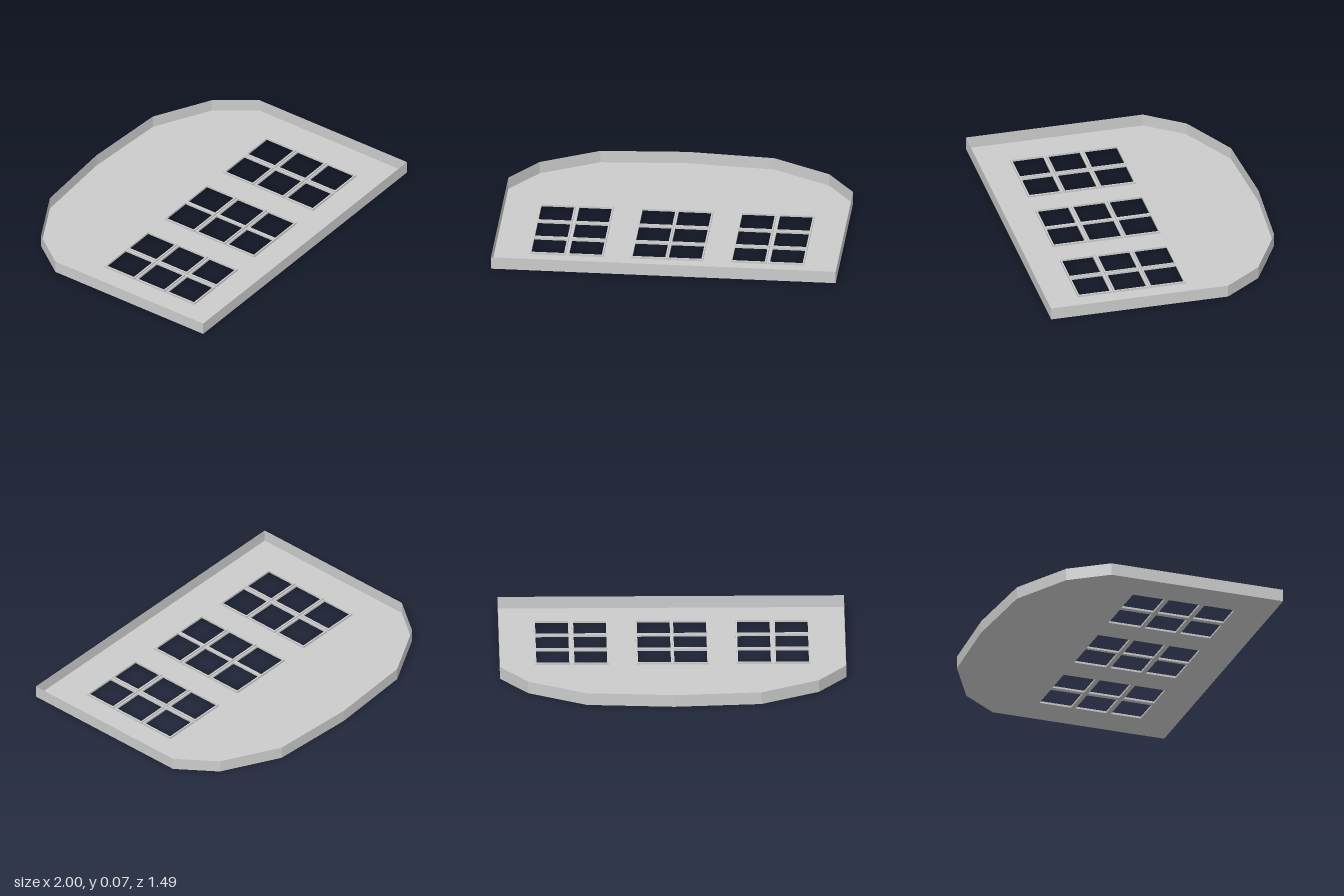
import * as THREE from 'three';

const HEIGHT = 0.073;
const FRAME_WIDTH = 0.009;
const FRAME_HEIGHT = 0.012;

// Right half of the outline as [x, z], from the back peak to the front corner
const HALF = [[0, -0.745], [0.505, -0.71], [0.84, -0.53], [1, -0.31], [1, 0.745]];
const OUTLINE = [...HALF, ...HALF.slice(1).reverse().map(([x, z]) => [-x, z])];

// Pane openings: column and row extents, the columns mirrored across x
const RIGHT_COLUMNS = [[0.01, 0.2], [0.378, 0.567], [0.597, 0.787]];
const COLUMNS = [...RIGHT_COLUMNS, ...RIGHT_COLUMNS.map(([a, b]) => [-b, -a])];
const ROWS = [[-0.1, 0.095], [0.122, 0.311], [0.339, 0.524]];
const PANES = COLUMNS.flatMap((column) => ROWS.map((row) => [...column, ...row]));

const toPoints = (corners) => corners.map(([x, z]) => new THREE.Vector2(x, -z));

// Corners of a pane, counterclockwise from above, grown by a margin
function paneCorners([x0, x1, z0, z1], margin) {
  return toPoints([
    [x0 - margin, z1 + margin], [x1 + margin, z1 + margin],
    [x1 + margin, z0 - margin], [x0 - margin, z0 - margin]]);
}

// Flat sheet pierced by three windows of six panes
function panelGeometry() {
  const shape = new THREE.Shape(toPoints(OUTLINE));
  shape.holes = PANES.map((pane) => new THREE.Path(paneCorners(pane, 0)));
  return new THREE.ShapeGeometry(shape).rotateX(-Math.PI / 2);
}

// Low raised border around one pane
function frameGeometry(pane) {
  const shape = new THREE.Shape(paneCorners(pane, FRAME_WIDTH));
  shape.holes.push(new THREE.Path(paneCorners(pane, 0).reverse()));
  return new THREE.ExtrudeGeometry(shape, { depth: FRAME_HEIGHT, bevelEnabled: false })
    .rotateX(-Math.PI / 2);
}

// Thin upright wall following the outline
function rimGeometry() {
  const positions = [];
  OUTLINE.forEach(([ax, az], i) => {
    const [bx, bz] = OUTLINE[(i + 1) % OUTLINE.length];
    positions.push(
      ax, 0, az, ax, HEIGHT, az, bx, HEIGHT, bz,
      ax, 0, az, bx, HEIGHT, bz, bx, 0, bz);
  });
  const geometry = new THREE.BufferGeometry();
  geometry.setAttribute('position', new THREE.Float32BufferAttribute(positions, 3));
  geometry.computeVertexNormals();
  return geometry;
}

export function createModel() {
  const group = new THREE.Group();
  group.name = 'windowPanel';
  const material = new THREE.MeshStandardMaterial({
    color: 0xcccccc, flatShading: true, side: THREE.DoubleSide,
  });
  const add = (name, geometry) => {
    const mesh = new THREE.Mesh(geometry, material);
    mesh.name = name;
    group.add(mesh);
  };
  add('panel', panelGeometry());
  add('rim', rimGeometry());
  PANES.forEach((pane) => add('paneFrame', frameGeometry(pane)));
  return group;
}
